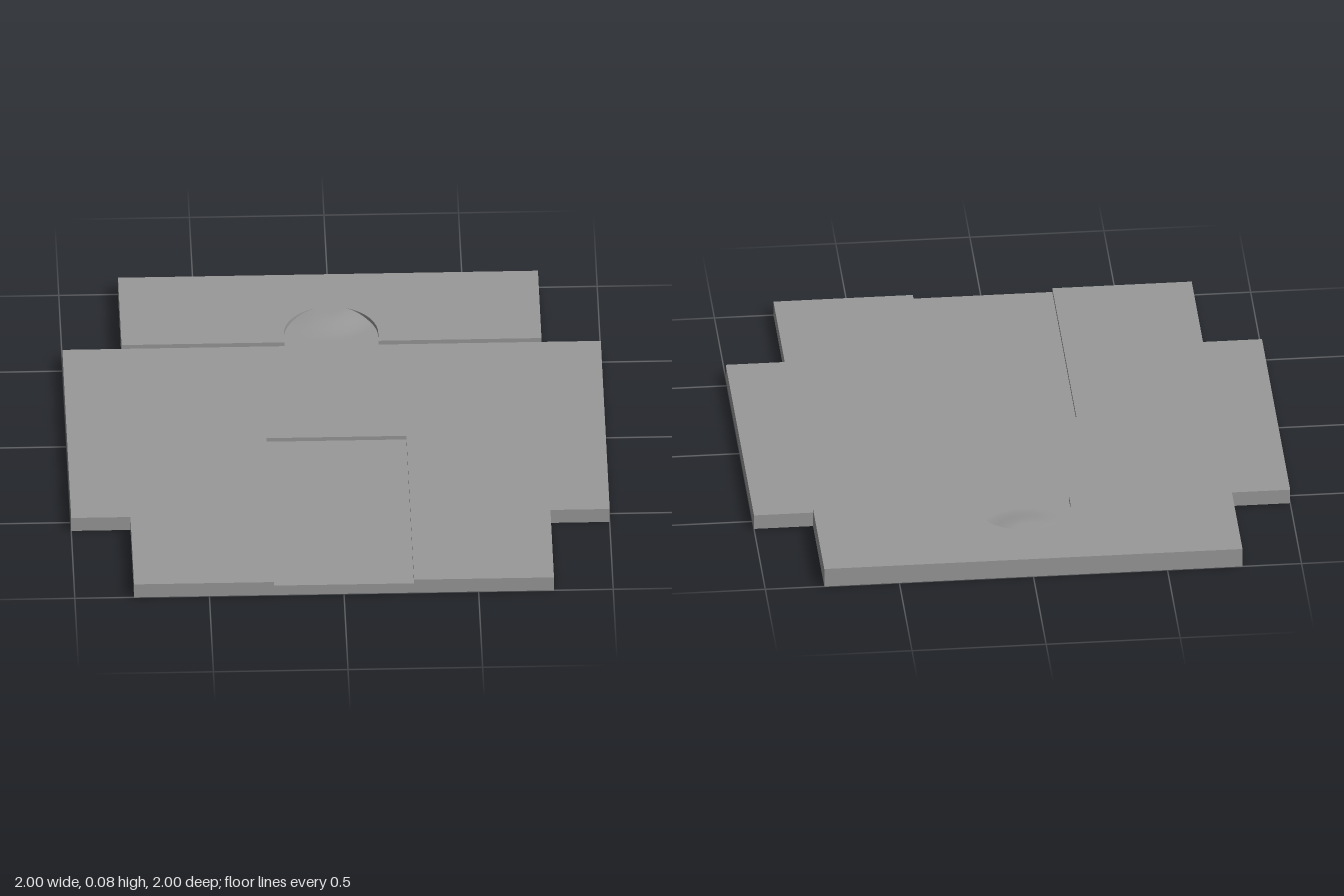
import * as THREE from 'three';
import { mergeGeometries, toCreasedNormals } from 'three/addons/utils/BufferGeometryUtils.js';

const LOW = 0.042, MID = 0.058, HIGH = 0.075; // recess floor, main deck, rear ledge
const W = 1, N = 0.78, STEP = 0.555;          // wide half, narrow half, z of the steps
const RX = 0.26, RZ = 0.05;                   // recess half width and back edge
const R = 0.175, ARC_Z = -0.61;               // alcove radius and centre

const material = new THREE.MeshStandardMaterial({ color: 0x999999 });

// Flat polygon of [x, z] points at height y, facing up or down
function face(points, y, up = true) {
  const s = up ? -1 : 1;
  const shape = new THREE.Shape(points.map(([x, z]) => new THREE.Vector2(x, s * z)));
  return new THREE.ShapeGeometry(shape).rotateX(s * Math.PI / 2).translate(0, y, 0).toNonIndexed();
}

// Vertical strip along a path; the visible side is to the right of travel seen from above
function wall(path, y0, y1) {
  const pos = [], uv = [];
  for (let i = 0; i + 1 < path.length; i++) {
    const [ax, az] = path[i], [bx, bz] = path[i + 1];
    pos.push(ax, y0, az, bx, y0, bz, bx, y1, bz, ax, y0, az, bx, y1, bz, ax, y1, az);
    uv.push(0, 0, 1, 0, 1, 1, 0, 0, 1, 1, 0, 1);
  }
  const g = new THREE.BufferGeometry();
  g.setAttribute('position', new THREE.Float32BufferAttribute(pos, 3));
  g.setAttribute('uv', new THREE.Float32BufferAttribute(uv, 2));
  g.computeVertexNormals();
  return toCreasedNormals(g, 0.5);
}

function part(name, geometries) {
  const mesh = new THREE.Mesh(mergeGeometries(geometries), material);
  mesh.name = name;
  return mesh;
}

export function createModel() {
  const group = new THREE.Group();
  group.name = 'steppedPlate';

  // Alcove outline, left to right around its rounded back
  const alcove = [[-R, -STEP]];
  for (let i = 0; i <= 32; i++) {
    const a = Math.PI * i / 32;
    alcove.push([-R * Math.cos(a), ARC_Z - R * Math.sin(a)]);
  }
  alcove.push([R, -STEP]);

  // Main deck: cross-shaped underside, top with the front recess cut out, and rim
  const rightRim = [[N, 1], [N, STEP], [W, STEP], [W, -STEP], [N, -STEP]];
  const leftRim = rightRim.map(([x, z]) => [-x, z]).reverse();
  const recessEdge = [[-RX, 1], [-RX, RZ], [RX, RZ], [RX, 1]];
  const frontShape = new THREE.Shape([
    [-N, 0], [N, 0], [N, MID], [RX, MID], [RX, LOW], [-RX, LOW], [-RX, MID], [-N, MID],
  ].map(([x, y]) => new THREE.Vector2(x, y)));
  group.add(part('mainPlate', [
    face([...rightRim, [N, -1], [-N, -1], ...leftRim], 0, false),
    face([...recessEdge, ...rightRim, ...leftRim], MID),
    wall(rightRim, 0, MID),
    wall(leftRim, 0, MID),
    new THREE.ShapeGeometry(frontShape).translate(0, 0, 1).toNonIndexed(),
  ]));

  // Sunken front panel
  group.add(part('frontRecess', [face(recessEdge, LOW), wall(recessEdge, LOW, MID)]));

  // Raised rear ledge with the rounded alcove
  const ledgeFront = [[-N, -STEP], ...alcove, [N, -STEP]];
  group.add(part('rearLedge', [
    face([...ledgeFront, [N, -1], [-N, -1]], HIGH),
    wall(ledgeFront, MID, HIGH),
    wall([[N, -STEP], [N, -1], [-N, -1], [-N, -STEP]], 0, HIGH),
  ]));

  // Alcove floor, fanning up to meet the ledge at the middle of the back
  const floor = new THREE.PlaneGeometry(2, 1, 32, 16).rotateX(-Math.PI / 2);
  const p = floor.attributes.position;
  for (let i = 0; i < p.count; i++) {
    const a = p.getX(i) * Math.PI / 2, v = 0.5 - p.getZ(i);
    const x = R * Math.sin(a);
    const z = THREE.MathUtils.lerp(-STEP, ARC_Z - R * Math.cos(a), v);
    const rise = 1 - THREE.MathUtils.smoothstep(Math.hypot(x, z - ARC_Z + R), 0.05, 0.19);
    p.setXYZ(i, x, MID + (HIGH - MID) * rise, z);
  }
  floor.computeVertexNormals();
  group.add(part('alcoveFloor', [floor]));

  return group;
}
